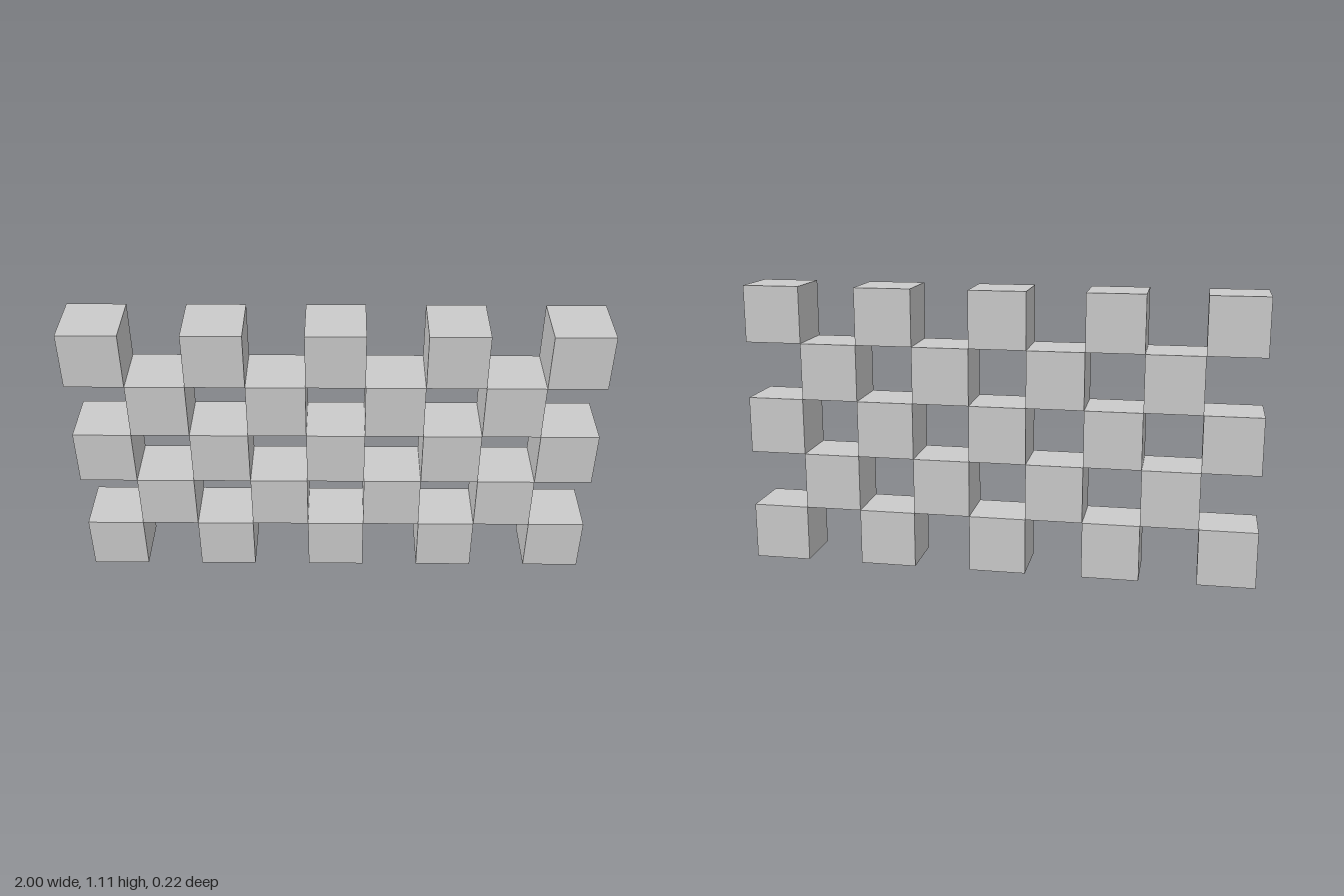
import * as THREE from 'three';

const COLUMNS = 9;
const ROWS = 5;
const SIZE = 2 / COLUMNS; // cube edge

export function createModel() {
  const model = new THREE.Group();
  model.name = 'checkerboardWall';
  const material = new THREE.MeshStandardMaterial({ color: 0xcccccc, flatShading: true });
  const cube = new THREE.BoxGeometry(SIZE, SIZE, SIZE);

  // Each row is a group of cubes; odd rows are shifted by one column
  for (let row = 0; row < ROWS; row++) {
    const course = new THREE.Group();
    course.name = `row${row + 1}`;
    course.position.y = (row + 0.5) * SIZE;
    for (let column = row % 2; column < COLUMNS; column += 2) {
      const block = new THREE.Mesh(cube, material);
      block.name = `block${row + 1}_${column + 1}`;
      block.position.x = (column - (COLUMNS - 1) / 2) * SIZE;
      course.add(block);
    }
    model.add(course);
  }
  return model;
}
